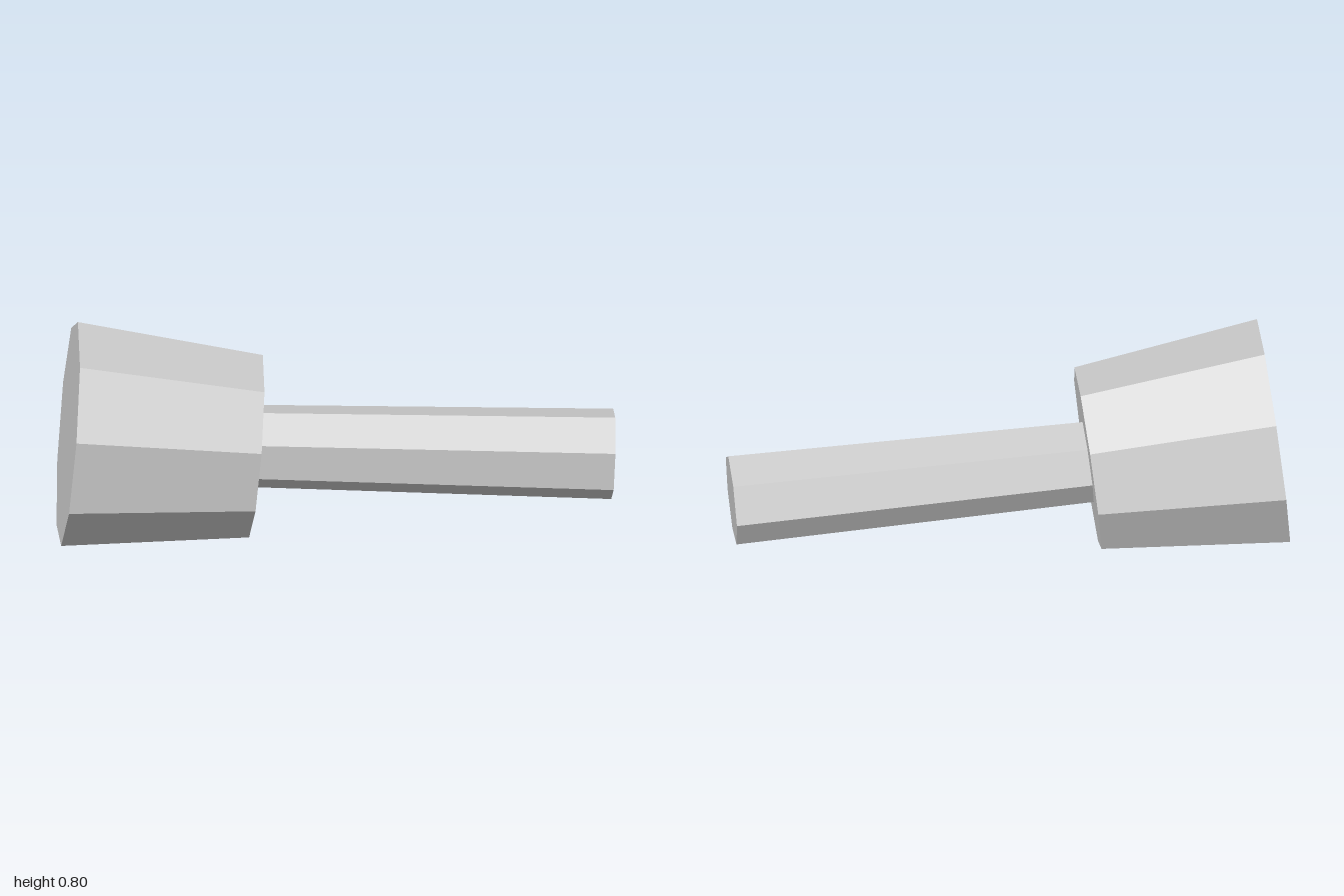
import * as THREE from 'three';

const grey = new THREE.MeshStandardMaterial({ color: 0xcccccc, flatShading: true });
grey.name = 'plain grey';

// Tapered prism between two centre points [x, y], with one corner line facing the back
function taperedPrism(name, sides, from, to, fromRadius, toRadius) {
  const z = 0.014;
  const a = new THREE.Vector3(from[0], from[1], z);
  const b = new THREE.Vector3(to[0], to[1], z);
  const geometry = new THREE.CylinderGeometry(
    toRadius, fromRadius, a.distanceTo(b), sides, 1, false, Math.PI);
  const mesh = new THREE.Mesh(geometry, grey);
  mesh.name = name;
  mesh.position.copy(a).lerp(b, 0.5);
  mesh.rotation.z = Math.atan2(b.y - a.y, b.x - a.x) - Math.PI / 2;
  return mesh;
}

export function createModel() {
  const group = new THREE.Group();
  group.name = 'mallet';
  // Nine-sided head, narrowing towards the handle
  group.add(taperedPrism('head', 9, [-0.961, 0.404], [-0.292, 0.34], 0.41, 0.334));
  // Seven-sided handle, seated just inside the head
  group.add(taperedPrism('handle', 7, [-0.31, 0.335], [0.991, 0.276], 0.151, 0.166));
  return group;
}
